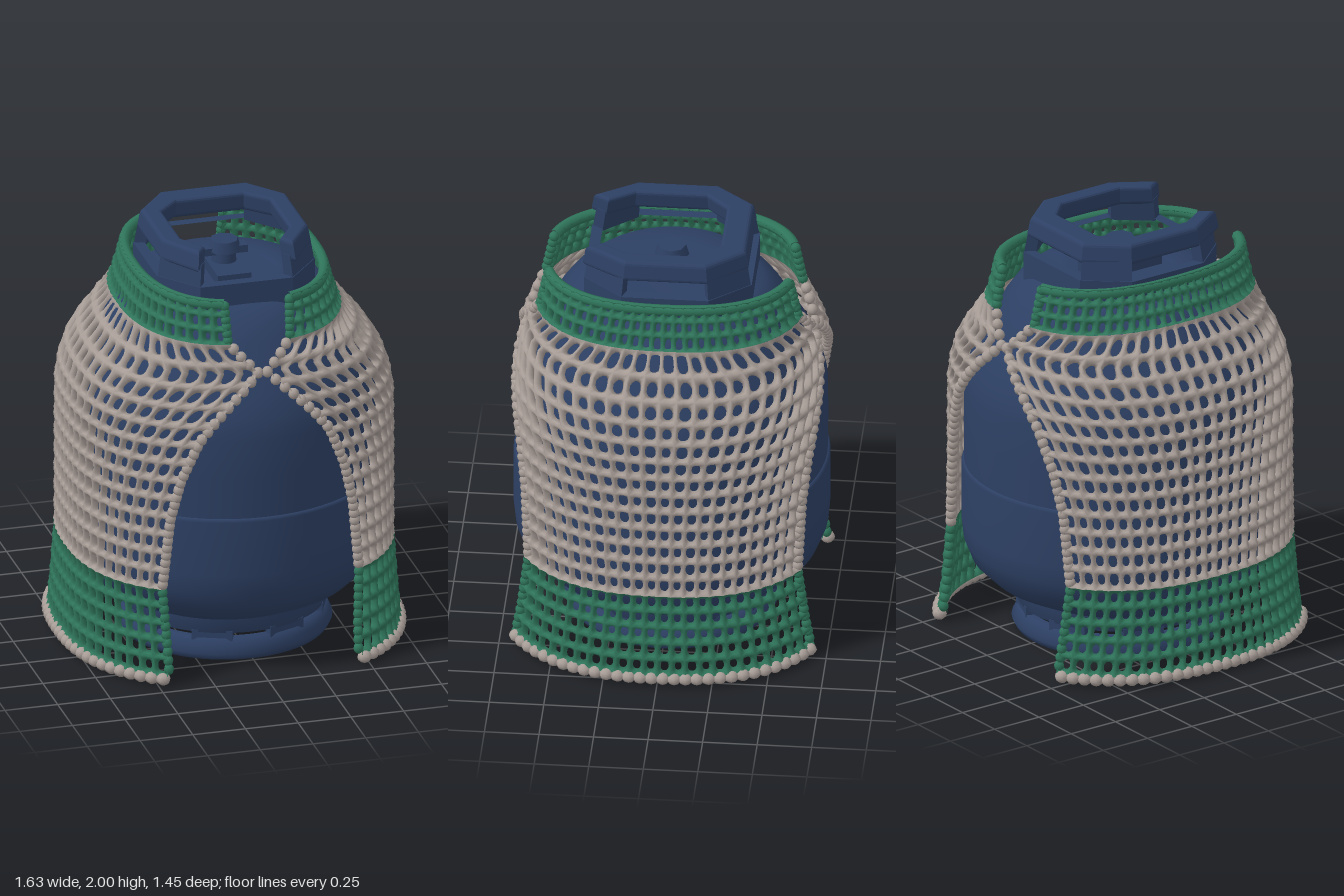
import * as THREE from 'three';
import { mergeGeometries, mergeVertices } from 'three/addons/utils/BufferGeometryUtils.js';

const navy = new THREE.MeshStandardMaterial({ color: 0x2d4064 });
navy.name = 'navy metal';
const beige = new THREE.MeshStandardMaterial({ color: 0xa89d97 });
beige.name = 'beige yarn';
const green = new THREE.MeshStandardMaterial({ color: 0x2f755b });
green.name = 'green yarn';

function add(parent, name, geometry, material) {
  const mesh = new THREE.Mesh(geometry, material);
  mesh.name = name;
  parent.add(mesh);
  return mesh;
}

const lathe = (pts) => new THREE.LatheGeometry(pts.map(([r, y]) => new THREE.Vector2(r, y)), 64);

// Plan outline given as [x, z], raised from y0 to y1
function slab(pts, y0, y1, bevel = 0, hole = null) {
  const flat = (list) => list.map(([x, z]) => new THREE.Vector2(x, -z));
  const shape = new THREE.Shape(flat(pts));
  if (hole) shape.holes.push(new THREE.Path(flat(hole)));
  const g = new THREE.ExtrudeGeometry(shape, {
    depth: y1 - y0 - 2 * bevel, bevelEnabled: bevel > 0, bevelSize: bevel,
    bevelThickness: bevel, bevelOffset: -bevel, bevelSegments: 3,
  });
  return g.rotateX(-Math.PI / 2).translate(0, y0 + bevel, 0);
}

// The guard leans slightly inward towards its top
function lean(g) {
  const p = g.attributes.position;
  for (let i = 0; i < p.count; i++) {
    const s = 1 - 0.45 * Math.max(0, p.getY(i) - 1.83);
    p.setX(i, p.getX(i) * s);
    p.setZ(i, p.getZ(i) * s);
  }
  g.computeVertexNormals();
  return g;
}

// Cover sections: height, half width, half depth, then x and z of the opening's edge
const SECTIONS = [
  [0.03, 0.79, 0.79, 0.455, 0.69], [0.2, 0.775, 0.765, 0.455, 0.655], [0.46, 0.757, 0.745, 0.475, 0.63],
  [0.8, 0.757, 0.74, 0.45, 0.66], [1.0, 0.757, 0.74, 0.40, 0.68], [1.2, 0.755, 0.74, 0.31, 0.70],
  [1.3, 0.735, 0.73, 0.23, 0.71], [1.4, 0.695, 0.71, 0.13, 0.70], [1.5, 0.615, 0.67, 0.02, 0.66],
  [1.57, 0.555, 0.645, 0.09, 0.635], [1.64, 0.50, 0.62, 0.15, 0.60], [1.84, 0.44, 0.585, 0.16, 0.56],
];

// Point on the cover: u runs 0..1 from front edge to back edge round +x
function coverPoint(u, y) {
  let i = 0;
  while (i < SECTIONS.length - 2 && y > SECTIONS[i + 1][0]) i++;
  const A = SECTIONS[i], B = SECTIONS[i + 1], t = (y - A[0]) / (B[0] - A[0]);
  const [, a, b, ex, ez] = A.map((v, k) => v + (B[k] - v) * t);
  const ang = Math.atan2(ez, ex) * (1 - 2 * u), n = 2.4;
  const c = Math.cos(ang), s = Math.sin(ang);
  const r = Math.pow(Math.pow(Math.abs(c) / a, n) + Math.pow(Math.abs(s) / b, n), -1 / n);
  return new THREE.Vector3(r * c, y, r * s);
}

function offsetPoint(u, y, d) {
  const p = coverPoint(u, y), e = 0.01;
  const du = coverPoint(u + e, y).sub(coverPoint(u - e, y));
  const dv = coverPoint(u, y + e).sub(coverPoint(u, y - e));
  return p.addScaledVector(du.cross(dv).normalize(), d);
}

// Netting: every cell is a rounded frame round an open hole
function netting(y0, y1, rows, cols, holeU, holeV) {
  const pos = [], idx = [], N = 12;
  const rim = [];
  for (let k = 0; k < N; k++) {
    const side = Math.floor(k / 3), s = -1 + (k % 3) * 2 / 3;
    rim.push([[s, -1], [1, s], [-s, 1], [-1, -s]][side]);
  }
  for (let r = 0; r < rows; r++) for (let c = 0; c < cols; c++) {
    const vary = 1 + 0.13 * Math.sin(r * 12.9 + c * 78.2);
    const base = pos.length / 3;
    for (let ring = 0; ring < 4; ring++) for (const [sx, sy] of rim) {
      const len = Math.hypot(sx, sy);
      const hx = sx / len * holeU * vary, hy = sy / len * holeV * vary;
      const mix = [0, 0.6, 1, 0][ring];
      const lump = len > 1.3 ? 0.006 : 0;
      const depth = [lump, -0.006, -0.027, -0.042][ring];
      const x = sx + (hx - sx) * mix, v = sy + (hy - sy) * mix;
      const p = offsetPoint((c + 0.5 + x / 2) / cols, y0 + (y1 - y0) * (r + 0.5 + v / 2) / rows, depth);
      pos.push(p.x, p.y, p.z);
    }
    for (let ring = 0; ring < 3; ring++) for (let k = 0; k < N; k++) {
      const a = base + ring * N + k, b = base + ring * N + (k + 1) % N;
      idx.push(a, b, b + N, a, b + N, a + N);
    }
  }
  let g = new THREE.BufferGeometry();
  g.setAttribute('position', new THREE.Float32BufferAttribute(pos, 3));
  g.setIndex(idx);
  g = mergeVertices(g, 1e-4);
  g.computeVertexNormals();
  return g;
}

// Row of round stitches placed by at(t)
function stitches(count, at, rx, ry) {
  const list = [];
  for (let i = 0; i < count; i++) {
    const p = at((i + 0.5) / count);
    const g = new THREE.SphereGeometry(1, 8, 6).scale(rx, ry, rx);
    list.push(g.translate(p.x, p.y, p.z));
  }
  return mergeGeometries(list);
}

const edge = (u, y0, y1) => (t) => offsetPoint(u, y0 + (y1 - y0) * t, -0.018);

// One half of the crocheted cover, on the +x side
function coverHalf(name) {
  const half = new THREE.Group();
  half.name = name;
  add(half, 'skirtNet', netting(0.05, 0.46, 5, 24, 0.56, 0.56), green);
  add(half, 'bodyNet', netting(0.46, 1.63, 13, 24, 0.64, 0.62), beige);
  add(half, 'collarNet', netting(1.63, 1.83, 3, 26, 0.42, 0.55), green);
  add(half, 'hem', stitches(30, (t) => offsetPoint(t, 0.034, -0.008), 0.034, 0.029), beige);
  for (const u of [0, 1]) {
    const end = u ? 'back' : 'front';
    add(half, end + 'SkirtEdge', stitches(10, edge(u, 0.06, 0.46), 0.024, 0.027), green);
    add(half, end + 'BodyEdge', stitches(32, edge(u, 0.46, 1.63), 0.026, 0.027), beige);
    add(half, end + 'CollarEdge', stitches(6, edge(u, 1.63, 1.82), 0.024, 0.025), green);
  }
  const rimPoints = [];
  for (let i = 0; i <= 24; i++) rimPoints.push(offsetPoint(i / 24, 1.812, -0.02));
  add(half, 'collarRim', new THREE.TubeGeometry(new THREE.CatmullRomCurve3(rimPoints), 60, 0.026, 8), green);
  return half;
}

export function createModel() {
  const model = new THREE.Group();
  model.name = 'coveredGasCylinder';

  // Tank in two shells with a stepped seam
  const tank = new THREE.Group();
  tank.name = 'tank';
  model.add(tank);
  add(tank, 'lowerShell', lathe([[0, 0.13], [0.3, 0.14], [0.46, 0.19], [0.6, 0.26], [0.68, 0.34],
    [0.715, 0.43], [0.724, 0.52], [0.724, 0.785], [0.715, 0.8], [0.69, 0.805]]), navy);
  add(tank, 'upperShell', lathe([[0.712, 0.76], [0.714, 1.0], [0.712, 1.18], [0.69, 1.28], [0.65, 1.38],
    [0.58, 1.5], [0.53, 1.59], [0.48, 1.66], [0.41, 1.72], [0.27, 1.75], [0.25, 1.735], [0, 1.735]]), navy);

  // Foot ring with eight slots
  const foot = new THREE.Group();
  foot.name = 'footRing';
  model.add(foot);
  add(foot, 'footRim', lathe([[0.43, 0.1], [0.42, 0.03], [0.44, 0], [0.48, 0], [0.495, 0.03],
    [0.48, 0.06], [0.47, 0.1], [0.43, 0.1]]), navy);
  add(foot, 'footBand', lathe([[0.43, 0.24], [0.43, 0.128], [0.47, 0.128], [0.47, 0.24]]), navy);
  for (let i = 0; i < 8; i++) {
    const a = (i + 0.5) * Math.PI / 4;
    const post = add(foot, 'footPost', new THREE.BoxGeometry(0.19, 0.05, 0.04), navy);
    post.position.set(0.445 * Math.sin(a), 0.113, 0.445 * Math.cos(a));
    post.rotation.y = a;
  }

  // Octagonal valve guard, its upper rim open at the front
  const guard = new THREE.Group();
  guard.name = 'valveGuard';
  model.add(guard);
  const octagon = (x, z, cx, cz) => [[x, cz], [cx, z], [-cx, z], [-x, cz], [-x, -cz], [-cx, -z], [cx, -z], [x, -cz]];
  add(guard, 'guardWall', slab(octagon(0.375, 0.385, 0.22, 0.2), 1.58, 1.83, 0,
    octagon(0.325, 0.335, 0.2, 0.18)), navy);
  for (const sx of [1, -1]) for (const sz of [1, -1]) {
    const post = [[0.372, 0.2], [0.22, 0.382], [0.19, 0.335], [0.32, 0.18]].map(([x, z]) => [x * sx, z * sz]);
    add(guard, 'guardPost', lean(slab(post, 1.82, 1.93)), navy);
  }
  const side = [[0.19, 0.33], [0.275, 0.2], [0.275, -0.15], [0.17, -0.255]];
  const outer = [[0.24, 0.405], [0.372, 0.2], [0.372, -0.2], [0.22, -0.385]];
  const flip = (list) => list.map(([x, z]) => [-x, z]);
  const rim = [...outer, ...flip(outer).reverse(), ...flip(side), ...side.slice().reverse()];
  add(guard, 'guardRim', lean(slab(rim, 1.905, 2.0, 0.018)), navy);

  // Valve
  const valve = new THREE.Group();
  valve.name = 'valve';
  model.add(valve);
  add(valve, 'valveBase', new THREE.BoxGeometry(0.16, 0.06, 0.36).translate(0, 1.755, 0), navy);
  add(valve, 'valveStem', new THREE.CylinderGeometry(0.05, 0.06, 0.1, 16).translate(0, 1.81, 0), navy);
  add(valve, 'valveArm', new THREE.BoxGeometry(0.21, 0.035, 0.06).translate(0, 1.84, 0), navy);
  add(valve, 'valveKnob', new THREE.CylinderGeometry(0.065, 0.08, 0.05, 8).translate(0, 1.865, 0), navy);

  // Crocheted cover in two matching halves
  const left = coverHalf('leftCover');
  const right = left.clone();
  right.name = 'rightCover';
  right.rotation.y = Math.PI;
  model.add(left, right);
  return model;
}
